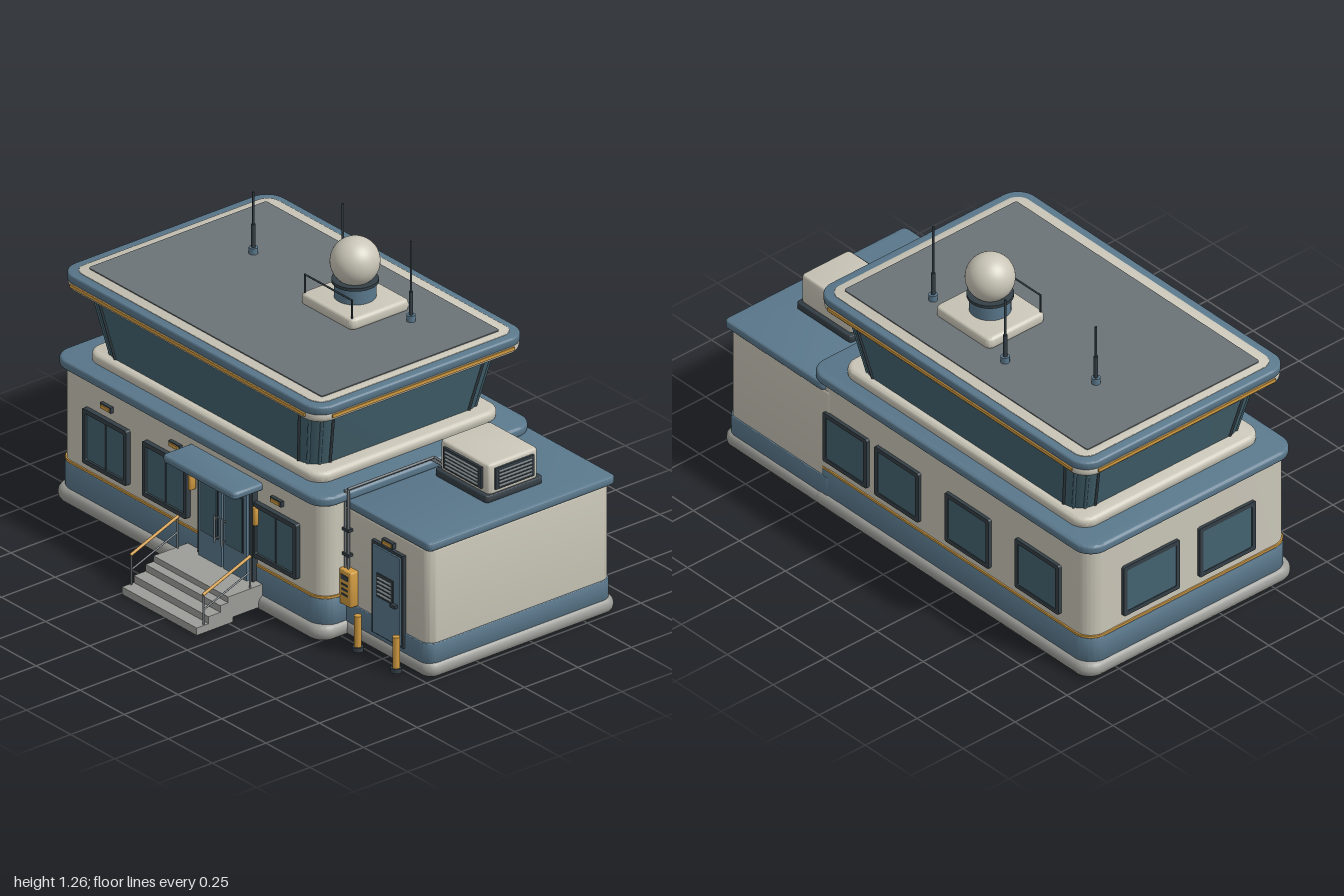
import * as THREE from 'three';
import { toCreasedNormals } from 'three/addons/utils/BufferGeometryUtils.js';

const mat = (color) => new THREE.MeshStandardMaterial({ color });
const CREAM = mat(0xcac6b8), BLUE = mat(0x5a788c), GLASS = mat(0x44636f), DARK = mat(0x343f46);
const STONE = mat(0x9c9c98), ROOF = mat(0x6c7377), ORANGE = mat(0xd09a40), METAL = mat(0x70787c);

function add(parent, name, geo, material, x = 0, y = 0, z = 0) {
  const m = new THREE.Mesh(geo, material);
  m.name = name;
  m.position.set(x, y, z);
  parent.add(m);
  return m;
}

function roundRect(w, d, r) {
  const s = new THREE.Shape(), a = w / 2 - r, b = d / 2 - r, q = Math.PI / 2;
  s.absarc(a, b, r, 0, q);
  s.absarc(-a, b, r, q, 2 * q);
  s.absarc(-a, -b, r, 2 * q, 3 * q);
  s.absarc(a, -b, r, 3 * q, 4 * q);
  s.closePath();
  return s;
}

// Horizontal slab with rounded plan corners (r) and rolled edges (b)
function slab(parent, name, material, [x0, x1], [y0, y1], [z0, z1], r, b) {
  const geo = new THREE.ExtrudeGeometry(roundRect(x1 - x0 - 2 * b, z1 - z0 - 2 * b, Math.max(r - b, 0.002)), {
    depth: y1 - y0 - 2 * b, bevelEnabled: b > 0, bevelSize: b, bevelThickness: b, bevelSegments: 4, curveSegments: 8,
  });
  geo.rotateX(-Math.PI / 2).translate(0, b, 0);
  return add(parent, name, toCreasedNormals(geo, 0.6), material, (x0 + x1) / 2, y0, (z0 + z1) / 2);
}

function box(parent, name, material, [x0, x1], [y0, y1], [z0, z1]) {
  return add(parent, name, new THREE.BoxGeometry(x1 - x0, y1 - y0, z1 - z0), material,
    (x0 + x1) / 2, (y0 + y1) / 2, (z0 + z1) / 2);
}

function rod(parent, name, material, p, q, r) {
  const a = new THREE.Vector3(...p), b = new THREE.Vector3(...q), d = b.clone().sub(a);
  const m = add(parent, name, new THREE.CylinderGeometry(r, r, d.length(), 12), material);
  m.position.copy(a).add(b).multiplyScalar(0.5);
  m.quaternion.setFromUnitVectors(new THREE.Vector3(0, 1, 0), d.normalize());
  return m;
}

// Framed window facing +z, centred on its group origin
function windowUnit(parent, name, w, h, x, y, z, turn = 0, divided = false, depth = 0.022) {
  const g = new THREE.Group();
  g.name = name;
  const s = roundRect(w, h, 0.008);
  s.holes.push(roundRect(w - 0.036, h - 0.036, 0.004));
  add(g, 'windowFrame', new THREE.ExtrudeGeometry(s, { depth, bevelEnabled: false }), DARK);
  add(g, 'windowGlass', new THREE.BoxGeometry(w - 0.03, h - 0.03, 0.014), GLASS, 0, 0, 0.006);
  if (divided) add(g, 'windowDivider', new THREE.BoxGeometry(0.007, h - 0.03, 0.012), DARK, 0, 0, 0.01);
  g.position.set(x, y, z);
  g.rotation.y = turn;
  parent.add(g);
}

function louvre(parent, w, h, x, y, z, turn) {
  const g = new THREE.Group();
  g.name = 'louvreGrille';
  add(g, 'grilleBack', new THREE.BoxGeometry(w, h, 0.012), DARK);
  for (let i = 0; i < 5; i++)
    add(g, 'grilleSlat', new THREE.BoxGeometry(w * 0.86, h * 0.07, 0.014), METAL, 0, h * (i - 2) * 0.17, 0.007).rotation.x = 0.4;
  g.position.set(x, y, z);
  g.rotation.y = turn;
  parent.add(g);
}

function lamp(parent, x, y, z) {
  box(parent, 'lampHousing', DARK, [x - 0.031, x + 0.031], [y - 0.011, y + 0.011], [z - 0.01, z + 0.014]);
  box(parent, 'lampLens', ORANGE, [x - 0.024, x + 0.024], [y - 0.007, y + 0.006], [z, z + 0.019]);
}

export function createModel() {
  const root = new THREE.Group();
  root.name = 'stationBuilding';
  const CX = -0.235, CZ = -0.145;

  // Main hall
  slab(root, 'hallPlinth', STONE, [-1, 0.535], [0, 0.065], [-0.65, 0.362], 0.07, 0.03);
  slab(root, 'hallWalls', CREAM, [-0.98, 0.517], [0.05, 0.56], [-0.627, 0.337], 0.07, 0);
  slab(root, 'hallSkirt', BLUE, [-0.986, 0.523], [0.06, 0.165], [-0.633, 0.343], 0.075, 0.004);
  slab(root, 'hallStripe', ORANGE, [-0.986, 0.523], [0.166, 0.176], [-0.633, 0.343], 0.075, 0.002);
  slab(root, 'hallParapet', BLUE, [-1, 0.535], [0.545, 0.584], [-0.645, 0.36], 0.08, 0.012);
  slab(root, 'towerCurb', CREAM, [-0.895, 0.43], [0.575, 0.622], [-0.58, 0.29], 0.07, 0.018);

  // Annex
  slab(root, 'annexPlinth', STONE, [0.4, 1], [0, 0.063], [-0.648, 0.238], 0.05, 0.028);
  slab(root, 'annexWalls', CREAM, [0.4, 0.982], [0.05, 0.525], [-0.63, 0.226], 0.045, 0.02);
  slab(root, 'annexSkirt', BLUE, [0.4, 0.987], [0.055, 0.137], [-0.635, 0.231], 0.047, 0.004);
  slab(root, 'annexRoof', BLUE, [0.45, 0.993], [0.515, 0.55], [-0.642, 0.232], 0.022, 0.01);

  // Flared glass storey: a rounded block widened towards the top
  const y0 = 0.61, y1 = 0.875, flare = 0.066;
  const hw = 0.597, hd = 0.402, cr = 0.08;
  const glass = new THREE.ExtrudeGeometry(roundRect(2 * hw, 2 * hd, cr), { depth: y1 - y0, bevelEnabled: false, curveSegments: 6 });
  glass.rotateX(-Math.PI / 2);
  const pos = glass.attributes.position;
  for (let i = 0; i < pos.count; i++) {
    const t = pos.getY(i) / (y1 - y0);
    pos.setX(i, pos.getX(i) * (1 + t * flare / hw));
    pos.setZ(i, pos.getZ(i) * (1 + t * 0.042 / hd));
  }
  glass.computeVertexNormals();
  add(root, 'towerGlass', toCreasedNormals(glass, 0.4), GLASS, CX, y0, CZ);
  for (const sx of [-1, 1]) for (const sz of [-1, 1]) for (let i = 0; i < 4; i++) {
    const a = (i / 3) * Math.PI / 2;
    const px = sx * (hw - cr + cr * Math.cos(a)), pz = sz * (hd - cr + cr * Math.sin(a));
    rod(root, 'cornerMullion', i % 3 ? GLASS : DARK, [CX + px, y0, CZ + pz],
      [CX + px * (1 + flare / hw), y1, CZ + pz * (1 + 0.042 / hd)], 0.006);
  }

  // Tower roof
  slab(root, 'eaves', CREAM, [-0.966, 0.5], [0.866, 0.914], [-0.636, 0.348], 0.08, 0.022);
  slab(root, 'roofFascia', BLUE, [-0.968, 0.502], [0.9, 0.935], [-0.638, 0.35], 0.08, 0.008);
  slab(root, 'roofRim', CREAM, [-0.93, 0.465], [0.92, 0.938], [-0.605, 0.314], 0.055, 0.003);
  slab(root, 'roofDeck', ROOF, [-0.895, 0.43], [0.92, 0.942], [-0.56, 0.27], 0.01, 0);
  for (const z of [-0.638, 0.35]) box(root, 'eaveStripe', ORANGE, [-0.9, 0.43], [0.886, 0.899], [z - 0.003, z + 0.003]);
  for (const x of [-0.968, 0.502]) box(root, 'eaveStripe', ORANGE, [x - 0.003, x + 0.003], [0.886, 0.899], [-0.57, 0.28]);

  // Radar dome with guard rail
  slab(root, 'domePedestal', CREAM, [-0.2, 0.1], [0.935, 0.983], [-0.418, -0.142], 0.025, 0.016);
  add(root, 'domeDrum', new THREE.CylinderGeometry(0.077, 0.077, 0.07, 32), BLUE, -0.05, 1.015, -0.28);
  add(root, 'domeCollar', new THREE.CylinderGeometry(0.086, 0.086, 0.012, 32), DARK, -0.05, 1.048, -0.28);
  add(root, 'dome', new THREE.SphereGeometry(0.092, 40, 28), CREAM, -0.05, 1.124, -0.28);
  for (const x of [-0.185, 0.082]) rod(root, 'guardPost', DARK, [x, 0.975, -0.157], [x, 1.057, -0.157], 0.0035);
  rod(root, 'guardRail', DARK, [-0.185, 1.055, -0.157], [0.082, 1.055, -0.157], 0.0035);

  // Antennas
  for (const [x, z, top] of [[-0.605, -0.262, 1.19], [-0.29, -0.42, 1.215], [0.17, -0.36, 1.265]]) {
    rod(root, 'antennaFoot', BLUE, [x, 0.935, z], [x, 0.967, z], 0.017);
    rod(root, 'antennaSleeve', DARK, [x, 0.967, z], [x, 1.06, z], 0.008);
    rod(root, 'antennaMast', DARK, [x, 1.05, z], [x, top, z], 0.0045);
  }

  // Hall windows and lamps
  for (const x of [-0.7, -0.36, 0.263]) windowUnit(root, 'frontWindow', 0.25, 0.222, x, 0.32, 0.335, 0, true);
  for (const x of [0.335, 0.053, -0.33, -0.71]) windowUnit(root, 'backWindow', 0.24, 0.215, x, 0.318, -0.625, Math.PI, false, 0.016);
  for (const z of [-0.335, 0.03]) windowUnit(root, 'sideWindow', 0.27, 0.215, -0.977, 0.318, z, -Math.PI / 2, false, 0.016);
  for (const x of [-0.7, -0.31, 0.265]) lamp(root, x, 0.476, 0.337);

  // Entrance doors
  box(root, 'doorFrame', DARK, [-0.167, 0.147], [0.1, 0.475], [0.32, 0.36]);
  for (const s of [-1, 1]) {
    const x = -0.01 + s * 0.071;
    box(root, 'doorLeaf', BLUE, [x - 0.065, x + 0.065], [0.108, 0.46], [0.34, 0.372]);
    box(root, 'doorPaneFrame', DARK, [x - 0.049, x + 0.049], [0.212, 0.437], [0.36, 0.375]);
    box(root, 'doorPane', GLASS, [x - 0.043, x + 0.043], [0.218, 0.431], [0.36, 0.378]);
    rod(root, 'doorHandle', METAL, [-0.01 + s * 0.02, 0.21, 0.393], [-0.01 + s * 0.02, 0.32, 0.393], 0.004);
    for (const y of [0.225, 0.305]) rod(root, 'handleMount', METAL, [-0.01 + s * 0.02, y, 0.37], [-0.01 + s * 0.02, y, 0.393], 0.003);
    slab(root, 'doorSconce', ORANGE, [-0.028 + s * 0.183 - 0.009, -0.028 + s * 0.183 + 0.009], [0.34, 0.415], [0.335, 0.364], 0.006, 0.004);
  }
  slab(root, 'canopy', BLUE, [-0.237, 0.175], [0.48, 0.512], [0.32, 0.47], 0.02, 0.012);

  // Entrance steps and handrails
  [[0.65, 0.03, 0, 0.48], [0.595, 0.058, 0, 0.48], [0.54, 0.085, 0.02, 0.34], [0.503, 0.108, 0.02, 0.33]].forEach(([z, top, low, back]) =>
    box(root, 'step', STONE, [-0.242, 0.182], [low, top], [back, z]));
  for (const x of [-0.235, 0.175]) {
    rod(root, 'railPost', METAL, [x, 0.028, 0.612], [x, 0.15, 0.612], 0.004);
    rod(root, 'railPost', METAL, [x, 0.1, 0.396], [x, 0.235, 0.396], 0.004);
    rod(root, 'midRail', METAL, [x, 0.09, 0.612], [x, 0.172, 0.396], 0.0035);
    rod(root, 'handrail', ORANGE, [x, 0.15, 0.616], [x, 0.236, 0.393], 0.006);
  }

  // Annex door
  box(root, 'annexDoorFrame', DARK, [0.675, 0.855], [0.078, 0.45], [0.21, 0.24]);
  box(root, 'annexDoor', BLUE, [0.688, 0.842], [0.085, 0.439], [0.22, 0.247]);
  louvre(root, 0.09, 0.095, 0.763, 0.288, 0.246, 0);
  box(root, 'annexDoorHandle', DARK, [0.805, 0.832], [0.235, 0.247], [0.245, 0.262]);
  lamp(root, 0.765, 0.467, 0.227);

  // Bollards
  for (const x of [0.655, 0.872]) {
    rod(root, 'bollardFoot', DARK, [x, 0.008, 0.287], [x, 0.026, 0.287], 0.021);
    rod(root, 'bollard', ORANGE, [x, 0.02, 0.287], [x, 0.15, 0.287], 0.014);
  }

  // Meter box and conduits over the annex roof
  slab(root, 'meterBox', ORANGE, [0.515, 0.583], [0.14, 0.28], [0.22, 0.262], 0.008, 0.005);
  for (const y of [0.18, 0.2, 0.22]) box(root, 'meterVent', DARK, [0.532, 0.566], [y, y + 0.007], [0.25, 0.265]);
  box(root, 'meterDial', DARK, [0.53, 0.568], [0.243, 0.262], [0.25, 0.265]);
  for (const [x, y] of [[0.526, 0.588], [0.544, 0.602]]) {
    rod(root, 'conduitRiser', METAL, [x, 0.27, 0.24], [x, y, 0.24], 0.005);
    rod(root, 'conduitRun', METAL, [x, y, 0.243], [x, y, -0.16], 0.005);
    rod(root, 'conduitBranch', METAL, [x, y, -0.16], [0.6, y, -0.16], 0.005);
  }
  for (const y of [0.33, 0.43]) box(root, 'conduitClip', DARK, [0.517, 0.553], [y, y + 0.01], [0.225, 0.248]);

  // Rooftop cooling unit
  slab(root, 'coolerBase', DARK, [0.575, 0.872], [0.548, 0.577], [-0.4, -0.135], 0.015, 0.004);
  slab(root, 'coolerBody', CREAM, [0.586, 0.866], [0.57, 0.696], [-0.384, -0.15], 0.02, 0.014);
  louvre(root, 0.215, 0.085, 0.726, 0.636, -0.146, 0);
  louvre(root, 0.18, 0.085, 0.869, 0.636, -0.266, Math.PI / 2);

  return root;
}
